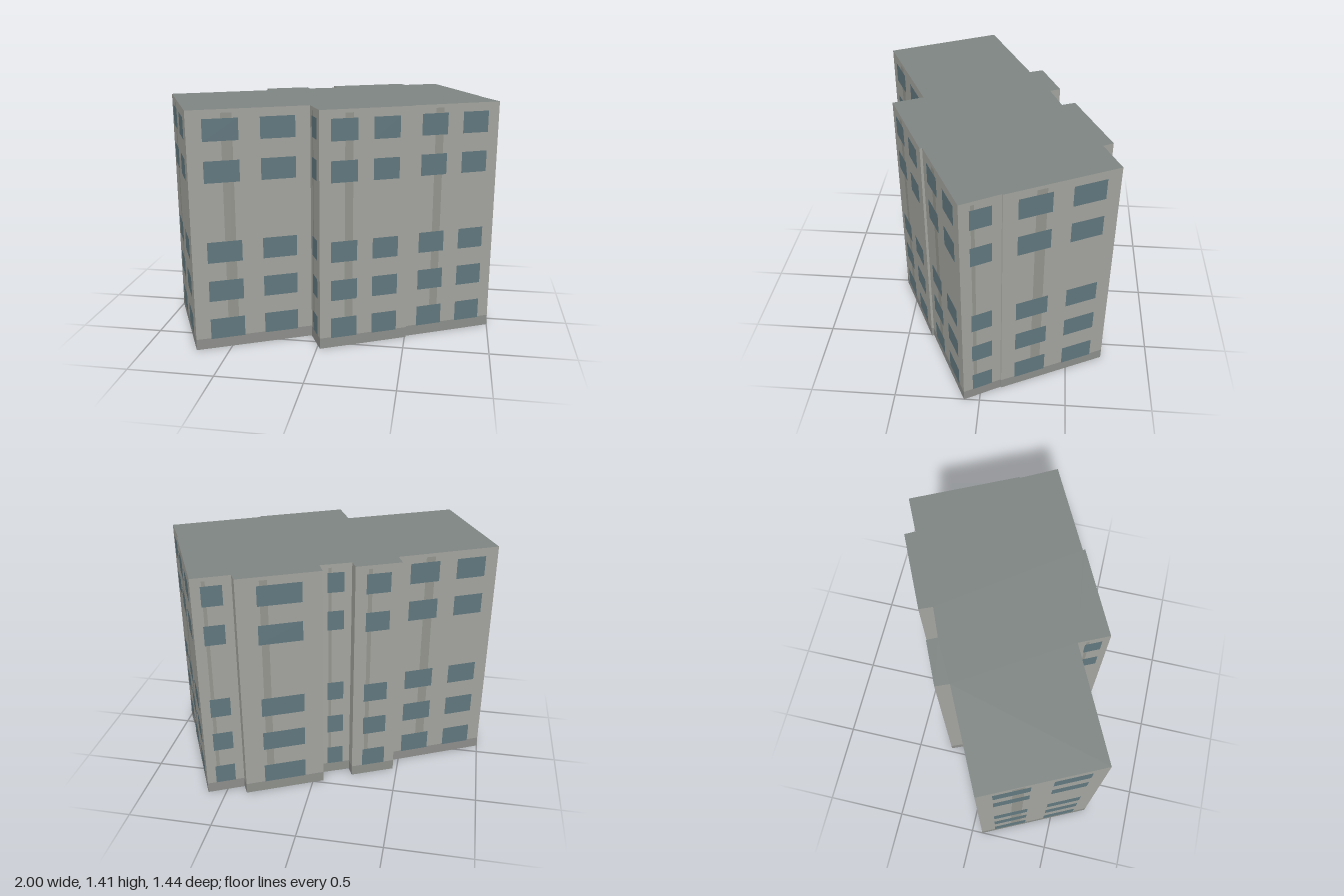
import * as THREE from 'three';

const HEIGHT = 1.41, BASE = 0.065;

// Ground plan corners [x, z], walked left to right as seen from outside
const PLAN = [
  [-1, 0.07], [-0.69, 0.717], [-0.06, 0.417], [0.02, 0.587],
  [0.508, 0.35], [0.503, 0.337], [1, 0.09], [0.89, -0.115],
  [0.895, -0.12], [0.607, -0.717], [0.405, -0.622], [0.374, -0.68],
  [-0.062, -0.478], [-0.03, -0.402], [-0.2, -0.33], [-0.228, -0.39],
  [-0.475, -0.278], [-0.443, -0.2],
];

// Sill heights; the third level up is left without windows
const SILLS = [0.06, 0.295, 0.53, 1.0, 1.235];

const paint = (color, side = THREE.FrontSide) =>
  new THREE.MeshStandardMaterial({ color, side });

const wallMat = paint(0xa5a6a1, THREE.DoubleSide);
const roofMat = paint(0x7f8683, THREE.DoubleSide);
const baseMat = paint(0x8f918d);
const stripMat = paint(0x95978f);
const glassMat = paint(0x627980);

// Upright rectangle lying just in front of a facade
function panel(name, x0, x1, y0, y1, z, material) {
  const mesh = new THREE.Mesh(new THREE.PlaneGeometry(x1 - x0, y1 - y0), material);
  mesh.position.set((x0 + x1) / 2, (y0 + y1) / 2, z);
  mesh.name = name;
  return mesh;
}

// One straight facade between two corners: local +x along it, +z outward
function makeFacade([ax, az], [bx, bz]) {
  const facade = new THREE.Group();
  facade.name = 'facade';
  const length = Math.hypot(bx - ax, bz - az);
  facade.position.set(ax, 0, az);
  facade.rotation.y = -Math.atan2(bz - az, bx - ax);

  facade.add(panel('wall', 0, length, 0, HEIGHT, 0, wallMat));
  facade.add(panel('basePlinth', 0, length, 0, BASE, 0.001, baseMat));
  if (length < 0.12) return facade; // short return walls stay blank

  // Vertical stripe, partly covered by the first window column
  facade.add(panel('wallStripe', 0.275 * length, 0.365 * length, BASE, 1.39, 0.0015, stripMat));

  // One wide or two paired window columns, as fractions of the length
  const columns = length > 0.52 ? [[0.125, 0.413], [0.587, 0.875]] : [[0.24, 0.765]];
  for (const [t0, t1] of columns) {
    for (const sill of SILLS) {
      const bottom = columns.length === 1 ? sill + 0.005 : sill;
      facade.add(panel('window', t0 * length, t1 * length, bottom, sill + 0.125, 0.003, glassMat));
    }
  }
  return facade;
}

export function createModel() {
  const building = new THREE.Group();
  building.name = 'apartmentBlock';

  PLAN.forEach((corner, i) => building.add(makeFacade(corner, PLAN[(i + 1) % PLAN.length])));

  // Flat roof following the plan; the underside is open
  const outline = new THREE.Shape(PLAN.map(([x, z]) => new THREE.Vector2(x, -z)));
  const roof = new THREE.Mesh(new THREE.ShapeGeometry(outline).rotateX(-Math.PI / 2), roofMat);
  roof.position.y = HEIGHT;
  roof.name = 'roof';
  building.add(roof);

  return building;
}
